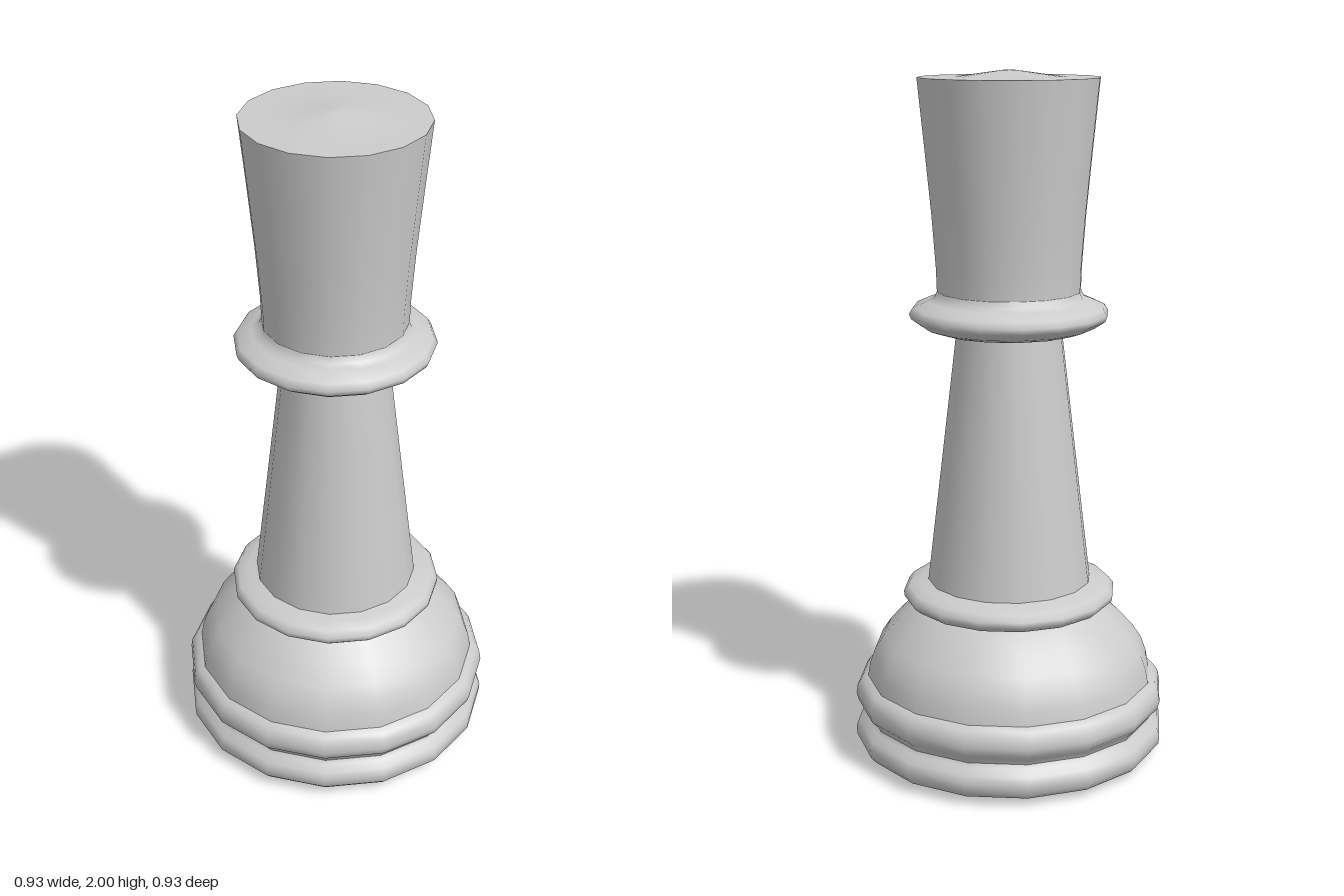
import * as THREE from 'three';

const SIDES = 16;

export function createModel() {
  const group = new THREE.Group();
  const material = new THREE.MeshStandardMaterial({ color: 0xcccccc });

  // Each turned part is a profile of [radius, height], listed bottom to top
  const turn = (name, profile) => {
    const points = profile.map(([r, y]) => new THREE.Vector2(r, y));
    const mesh = new THREE.Mesh(new THREE.LatheGeometry(points, SIDES), material);
    mesh.name = name;
    group.add(mesh);
  };

  // Underside and the two stacked foot rings
  turn('underside', [[0, 0], [0.02, 0.003], [0.41, 0.015]]);
  turn('lowerFootRing', [
    [0.41, 0.015], [0.445, 0.024], [0.461, 0.042], [0.463, 0.068], [0.455, 0.09], [0.435, 0.106], [0.428, 0.118],
  ]);
  turn('upperFootRing', [
    [0.428, 0.118], [0.436, 0.134], [0.455, 0.152], [0.461, 0.175], [0.457, 0.2], [0.445, 0.22], [0.425, 0.23],
  ]);

  // Domed base
  turn('baseDome', [
    [0.425, 0.23], [0.418, 0.27], [0.402, 0.315], [0.375, 0.355], [0.33, 0.405], [0.282, 0.448], [0.265, 0.455],
  ]);

  // Collar at the foot of the stem
  turn('lowerCollar', [
    [0.265, 0.455], [0.295, 0.46], [0.312, 0.475], [0.314, 0.492], [0.3, 0.51], [0.265, 0.519], [0.24, 0.526],
  ]);

  // Tapered stem
  turn('stem', [[0.241, 0.524], [0.196, 0.9], [0.152, 1.272]]);

  // Collar below the head
  turn('upperCollar', [
    [0.15, 1.272], [0.215, 1.273], [0.25, 1.285], [0.281, 1.306], [0.287, 1.322], [0.276, 1.34],
    [0.235, 1.358], [0.215, 1.366], [0.207, 1.385],
  ]);

  // Flared head and its shallow pointed cap
  turn('head', [[0.207, 1.385], [0.209, 1.45], [0.22, 1.6], [0.239, 1.8], [0.257, 1.98]]);
  turn('cap', [[0.257, 1.98], [0.15, 1.981], [0.085, 1.99], [0.018, 1.999], [0, 2]]);

  return group;
}
